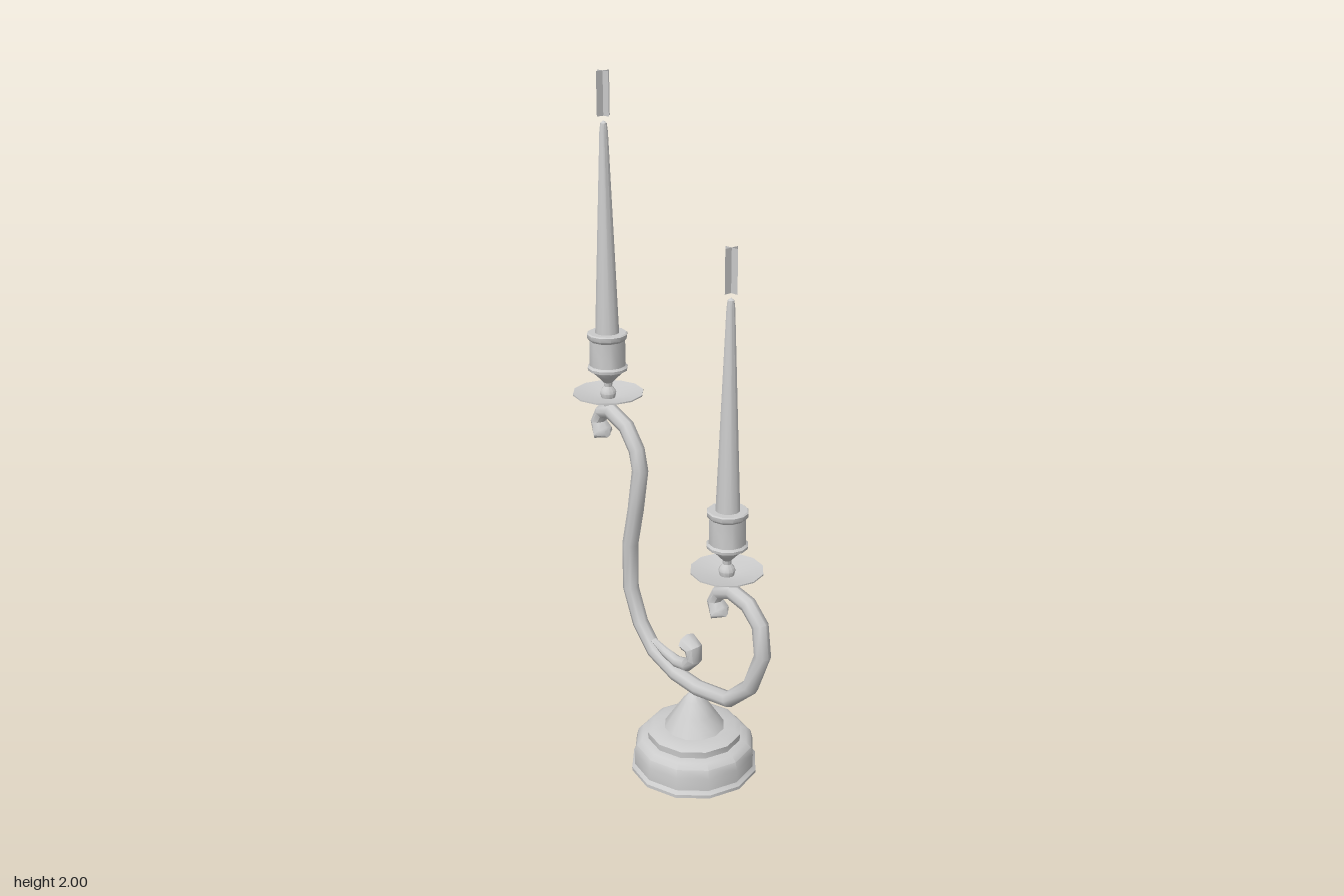
import * as THREE from 'three';
import { toCreasedNormals } from 'three/addons/utils/BufferGeometryUtils.js';

const material = new THREE.MeshStandardMaterial({ color: 0xcccccc });
const flameMaterial = new THREE.MeshStandardMaterial({ color: 0xcccccc, side: THREE.DoubleSide });
const CREASE = 0.65;

function addMesh(parent, name, geometry, mat = material) {
  const mesh = new THREE.Mesh(geometry, mat);
  mesh.name = name;
  parent.add(mesh);
  return mesh;
}

// Twelve-sided turned part from [radius, height] pairs, bottom to top
function turned(profile) {
  const points = profile.map(([r, y]) => new THREE.Vector2(r, y));
  return toCreasedNormals(new THREE.LatheGeometry(points, 12), CREASE);
}

// Sweep along a path in the xy plane; each point is [x, y, in-plane radius, z radius]
function scroll(path, sides = 8) {
  const positions = [], index = [];
  const last = path.length - 1;
  path.forEach(([x, y, rn, rz], i) => {
    const a = path[Math.max(i - 1, 0)], b = path[Math.min(i + 1, last)];
    const t = new THREE.Vector2(b[0] - a[0], b[1] - a[1]).normalize();
    for (let j = 0; j < sides; j++) {
      const angle = (j / sides) * Math.PI * 2;
      const n = rn * Math.cos(angle);
      positions.push(x - t.y * n, y + t.x * n, rz * Math.sin(angle));
    }
  });
  for (let i = 0; i < last; i++) {
    for (let j = 0; j < sides; j++) {
      const k = (j + 1) % sides;
      const p = i * sides + j, q = i * sides + k;
      index.push(p, q, q + sides, p, q + sides, p + sides);
    }
  }
  // End caps
  const end = last * sides;
  for (let j = 1; j < sides - 1; j++) {
    index.push(0, j + 1, j, end, end + j, end + j + 1);
  }
  const geometry = new THREE.BufferGeometry();
  geometry.setAttribute('position', new THREE.Float32BufferAttribute(positions, 3));
  geometry.setIndex(index);
  return toCreasedNormals(geometry, 0.9);
}

// Drip dish, cup, candle and flame; y = 0 is the dish rim
function createCandle(name, x, y) {
  const group = new THREE.Group();
  group.name = name;
  group.position.set(x, y, 0);

  addMesh(group, 'dripDish', turned([
    [0, -0.045], [0.012, -0.045], [0.014, -0.027], [0.03, -0.022],
    [0.104, 0], [0.104, 0.004], [0.03, -0.012], [0, -0.012],
  ]));
  addMesh(group, 'candleCup', turned([
    [0.02, -0.014], [0.024, 0.002], [0.02, 0.012], [0.012, 0.022], [0.013, 0.034],
    [0.03, 0.052], [0.045, 0.066], [0.048, 0.073], [0.058, 0.074], [0.059, 0.082],
    [0.053, 0.088], [0.052, 0.163], [0.058, 0.17], [0.059, 0.182], [0.055, 0.185], [0, 0.185],
  ]));
  addMesh(group, 'candle', turned([
    [0.035, 0.18], [0.012, 0.755], [0.009, 0.778], [0, 0.785],
  ]));

  // Two crossed cards
  for (const turn of [0, Math.PI / 2]) {
    const card = addMesh(group, 'flame', new THREE.PlaneGeometry(0.046, 0.12), flameMaterial);
    card.position.y = 0.857;
    card.rotation.y = turn;
  }
  return group;
}

export function createModel() {
  const model = new THREE.Group();
  model.name = 'candelabrum';

  // Stepped round foot
  const foot = addMesh(model, 'foot', turned([
    [0, 0], [0.19, 0], [0.19, 0.01], [0.181, 0.02], [0.181, 0.06], [0.175, 0.085],
    [0.16, 0.1], [0.14, 0.104], [0.141, 0.124], [0.125, 0.132], [0.09, 0.134],
    [0.06, 0.18], [0.033, 0.222], [0.017, 0.24], [0, 0.245],
  ]));
  foot.position.x = 0.088;

  // Main arm with a flared curl at each end
  const r = 0.024;
  const armLine = [
    [-0.273, 1.03], [-0.204, 1.0], [-0.16, 0.94], [-0.146, 0.88], [-0.167, 0.75],
    [-0.193, 0.63], [-0.193, 0.485], [-0.15, 0.38], [-0.087, 0.31], [0.008, 0.273],
    [0.103, 0.264], [0.23, 0.283], [0.315, 0.363], [0.359, 0.48], [0.347, 0.57],
    [0.3, 0.617], [0.236, 0.633],
  ].map(([x, y]) => [x, y, r, r]);
  addMesh(model, 'arm', scroll([
    [-0.289, 0.955, 0.012, 0.012], [-0.31, 0.952, 0.024, 0.036],
    [-0.329, 0.985, 0.021, 0.026], [-0.313, 1.018, 0.021, 0.023],
    ...armLine,
    [0.185, 0.613, 0.021, 0.023], [0.17, 0.582, 0.021, 0.026],
    [0.189, 0.55, 0.024, 0.036], [0.21, 0.556, 0.012, 0.012],
  ]));

  // Small leaf curl branching off the arm
  addMesh(model, 'branchCurl', scroll([
    [-0.09, 0.345, 0.006, 0.01], [-0.04, 0.325, 0.014, 0.014], [0.01, 0.314, 0.018, 0.017],
    [0.055, 0.322, 0.02, 0.02], [0.085, 0.355, 0.022, 0.025],
    [0.082, 0.388, 0.024, 0.03], [0.057, 0.4, 0.024, 0.036], [0.037, 0.383, 0.012, 0.012],
  ]));

  model.add(createCandle('tallCandle', -0.283, 1.083));
  model.add(createCandle('shortCandle', 0.215, 0.691));
  return model;
}
